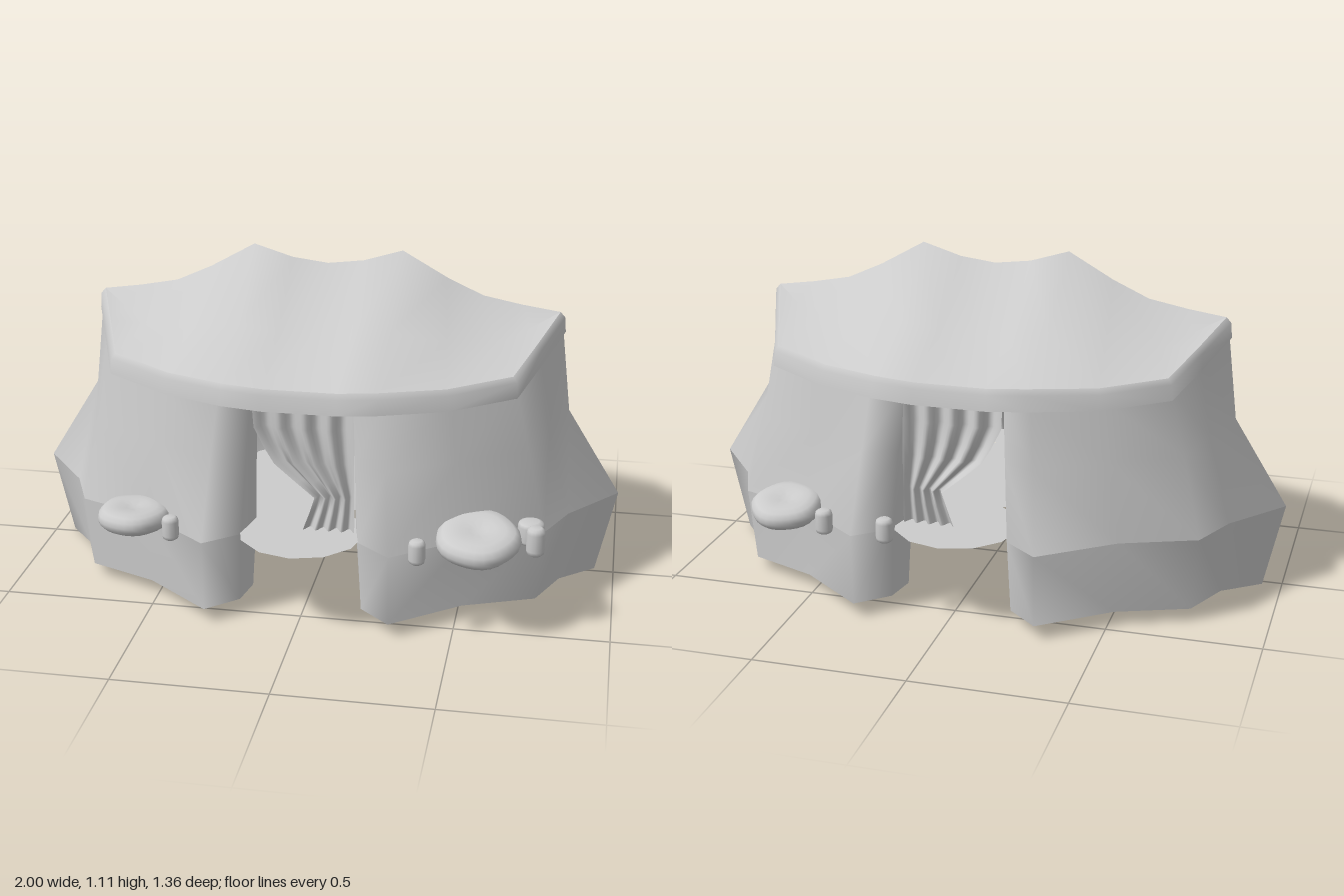
import * as THREE from 'three';
import { toCreasedNormals } from 'three/addons/utils/BufferGeometryUtils.js';

const material = new THREE.MeshStandardMaterial({ color: 0xcccccc, side: THREE.DoubleSide });
const TENT_Z = -0.02; // the tent's middle line
const GROUND = 0.29;

function addMesh(parent, name, geometry) {
  const mesh = new THREE.Mesh(geometry, material);
  mesh.name = name;
  parent.add(mesh);
  return mesh;
}

// Smooth sheet through rows of [x, y, z] points, all rows equally long
function sheet(rows) {
  const n = rows[0].length;
  const index = [];
  for (let r = 0; r < rows.length - 1; r++) {
    for (let c = 0; c < n - 1; c++) {
      const a = r * n + c;
      index.push(a, a + 1, a + n, a + 1, a + n + 1, a + n);
    }
  }
  const g = new THREE.BufferGeometry();
  g.setAttribute('position', new THREE.Float32BufferAttribute(rows.flat(2), 3));
  g.setIndex(index);
  g.computeVertexNormals();
  return g;
}

// Half a wall, from the door flap to the side corner: [x, y, z] per column
const WALL = [
  [[0.155, 0.74, 0.42], [0.165, 0.74, 0.49], [0.26, 0.75, 0.525], [0.46, 0.75, 0.43], [0.66, 0.77, 0.33], [0.72, 0.82, 0.17], [0.785, 0.88, 0]],
  [[0.16, 0.55, 0.42], [0.175, 0.55, 0.51], [0.28, 0.55, 0.565], [0.49, 0.55, 0.44], [0.71, 0.56, 0.345], [0.765, 0.57, 0.18], [0.82, 0.58, 0]],
  [[0.165, 0.29, 0.42], [0.19, 0.29, 0.54], [0.30, 0.29, 0.63], [0.53, 0.29, 0.455], [0.77, 0.29, 0.36], [0.84, 0.29, 0.2], [1, 0.29, 0]],
  [[0.18, 0.05, 0.42], [0.2, 0.05, 0.53], [0.30, 0.05, 0.62], [0.52, 0.05, 0.45], [0.75, 0.045, 0.35], [0.82, 0.04, 0.18], [0.935, 0, 0]],
];

// Wall with a fold at ground height, where the skirt begins
function addWall(parent, side, name) {
  const rows = WALL.map((row) => {
    const front = row.map(([x, y, z]) => [side * x, y, z + TENT_Z]);
    const back = row.slice(0, -1).reverse().map(([x, y, z]) => [side * x, y, -z + TENT_Z]);
    return [...front, ...back];
  });
  addMesh(parent, name, sheet(rows.slice(0, 3)));
  addMesh(parent, name + 'Skirt', sheet(rows.slice(2)));
}

// Roof stations from the middle outwards: ridge x, ridge y, eave x, eave y, eave z
const ROOF = [
  [0, 1.05, 0, 0.785, 0.535],
  [0.12, 1.065, 0.12, 0.785, 0.535],
  [0.25, 1.105, 0.25, 0.795, 0.535],
  [0.4, 1.02, 0.46, 0.785, 0.435],
  [0.52, 0.965, 0.665, 0.805, 0.335],
  [0.65, 0.94, 0.73, 0.86, 0.165],
  [0.775, 0.922, 0.795, 0.922, 0],
];

// Rows of one slope from ridge to eave, and of the hem hanging from it
function slopeRow(t) {
  return ROOF.map(([rx, ry, ex, ey, ez]) => {
    const sag = t === 0.5 ? 0.085 * ez : 0;
    return [THREE.MathUtils.lerp(rx, ex * 0.975, t), THREE.MathUtils.lerp(ry, ey, t) - sag, ez * 0.975 * t];
  });
}

function hemRow(scaleX, drop, scaleZ) {
  return ROOF.map(([, , x, y, z]) => [x * scaleX, y - drop, z * scaleZ]);
}

// Completes a half row across x = 0 and places it on one side of the ridge
function fullRow(half, zSign) {
  const row = [...half.slice(1).reverse().map(([x, y, z]) => [-x, y, z]), ...half];
  return row.map(([x, y, z]) => [x, y, z * zSign + TENT_Z]);
}

function addRoof(parent, zSign, name) {
  const slope = [slopeRow(0), slopeRow(0.5), slopeRow(1)];
  const hem = [slopeRow(1), hemRow(0.995, 0.018, 0.995), hemRow(1, 0.068, 1.01)];
  addMesh(parent, name, sheet(slope.map((row) => fullRow(row, zSign))));
  addMesh(parent, name + 'Hem', sheet(hem.map((row) => fullRow(row, zSign))));
}

// Pleated curtain drawn to one side: y and free-edge x per row
const CURTAIN = [[0.78, -0.165], [0.64, -0.155], [0.57, -0.12], [0.52, -0.09], [0.46, -0.02], [0.41, 0.04], [0.36, 0.025], [0.29, 0]];

function addCurtain(parent, zSign, name) {
  const steps = 32;
  const rows = CURTAIN.map(([y, edge]) => {
    const row = [];
    for (let i = 0; i <= steps; i++) {
      const t = i / steps;
      const pleat = 0.015 * Math.cos(t * Math.PI * 8);
      row.push([THREE.MathUtils.lerp(edge, 0.17, t), y, zSign * (0.47 + pleat) + TENT_Z]);
    }
    return row;
  });
  addMesh(parent, name, sheet(rows));
}

// Round cushion with a dimpled top, hollow underside and uneven rim
function addCushion(parent, x, y, z, r, h, tilt) {
  const profile = [
    [0, 0.45], [0.3, 0.4], [0.45, 0.15], [0.65, 0], [0.85, 0.08], [0.97, 0.3],
    [1, 0.5], [0.97, 0.75], [0.85, 0.93], [0.65, 1], [0.42, 1], [0.2, 0.93], [0, 0.88],
  ].map(([a, b]) => new THREE.Vector2(a * r, (b - 0.5) * h));
  const g = new THREE.LatheGeometry(profile, 28);
  const p = g.attributes.position;
  for (let i = 0; i < p.count; i++) {
    const angle = Math.atan2(p.getZ(i), p.getX(i));
    const k = 1 + 0.02 * Math.cos(angle * 5);
    p.setXYZ(i, p.getX(i) * k, p.getY(i), p.getZ(i) * k);
  }
  const mesh = addMesh(parent, 'cushion', toCreasedNormals(g, 1.2));
  mesh.position.set(x, y, z);
  mesh.rotation.x = tilt;
}

// Small upright jar with rounded rims
function addJar(parent, x, z, r, h) {
  const profile = [[0, 0], [0.6, 0], [0.9, 0.07], [1, 0.2], [1, 0.8], [0.9, 0.93], [0.6, 1], [0, 1]]
    .map(([a, b]) => new THREE.Vector2(a * r, b * h));
  const mesh = addMesh(parent, 'jar', new THREE.LatheGeometry(profile, 14));
  mesh.position.set(x, GROUND - 0.012, z);
}

function addRug(parent, x, z, r, lift) {
  const mesh = addMesh(parent, 'rug', new THREE.CircleGeometry(r, 12));
  mesh.rotation.x = -Math.PI / 2;
  mesh.position.set(x, GROUND + lift, z);
}

export function createModel() {
  const model = new THREE.Group();
  model.name = 'tent';

  // Canvas
  addRoof(model, 1, 'frontRoof');
  addRoof(model, -1, 'backRoof');
  addWall(model, 1, 'leftWall');
  addWall(model, -1, 'rightWall');
  addCurtain(model, 1, 'frontCurtain');
  addCurtain(model, -1, 'backCurtain');

  // Rugs on the floor and in both doorways
  addRug(model, 0, 0.475, 0.205, 0.006);
  addRug(model, 0, -0.475, 0.205, 0.006);
  addRug(model, 0, 0, 0.32, 0.004);
  addRug(model, -0.28, 0.3, 0.2, 0.002);

  // Cushions around the outside, two of them leaning on the wall
  addCushion(model, 0.57, 0.325, 0.5, 0.135, 0.078, 0.2);
  addCushion(model, -0.55, 0.32, 0.5, 0.117, 0.07, 0);
  addCushion(model, 0.56, 0.322, -0.54, 0.117, 0.07, -0.2);

  // Jars beside the cushions: x, z, radius, height
  const jars = [
    [0.39, 0.61, 0.027, 0.08], [-0.41, 0.57, 0.027, 0.08], [0.75, 0.485, 0.03, 0.095],
    [0.73, 0.4, 0.043, 0.078], [0.4, -0.62, 0.028, 0.08], [0.19, -0.635, 0.028, 0.08],
  ];
  jars.forEach((jar) => addJar(model, ...jar));

  return model;
}
